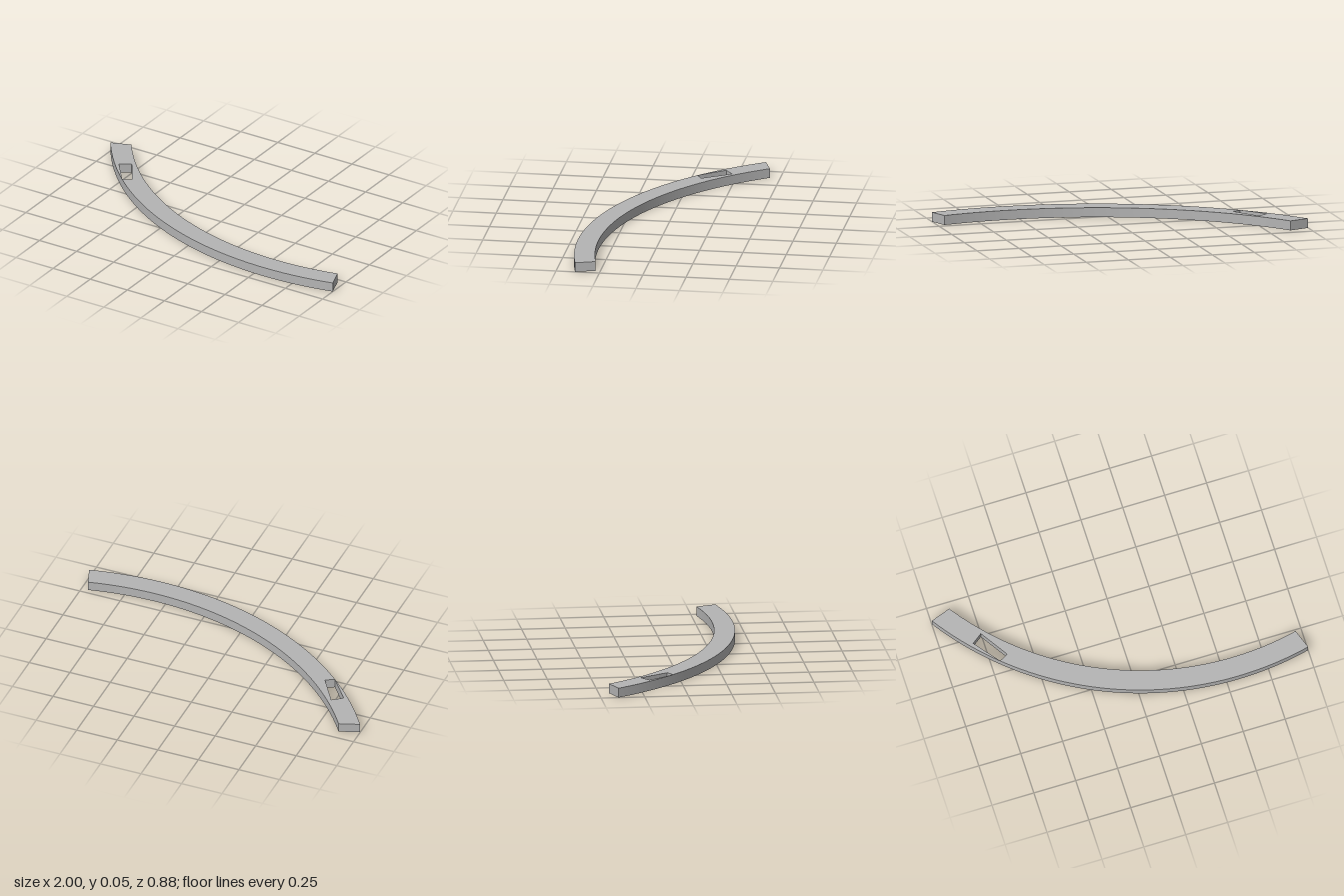
import * as THREE from 'three';
import { toCreasedNormals } from 'three/addons/utils/BufferGeometryUtils.js';

const HEIGHT = 0.055;
const CENTRE = [0.57, -1.445]; // x, z of the centre both arcs share
const OUTER_R = 1.885;
const INNER_R = 1.766;

// Points along an arc between two ends given as [x, z]
function arcPoints(radius, from, to, steps = 64) {
  const angle = ([x, z]) => Math.atan2(z - CENTRE[1], x - CENTRE[0]);
  const a = angle(from), b = angle(to);
  return Array.from({ length: steps + 1 }, (_, i) => {
    const t = a + ((b - a) * i) / steps;
    return new THREE.Vector2(
      CENTRE[0] + radius * Math.cos(t),
      -(CENTRE[1] + radius * Math.sin(t))
    );
  });
}

export function createModel() {
  const group = new THREE.Group();
  group.name = 'curvedBarModel';
  const grey = new THREE.MeshStandardMaterial({ color: 0xb4b4b4 });
  grey.name = 'grey';

  // Plan of the bar: outer arc, slanted end, inner arc, slanted end
  const plan = new THREE.Shape([
    ...arcPoints(OUTER_R, [-1, -0.4], [1, 0.39]),
    ...arcPoints(INNER_R, [0.96, 0.275], [-0.885, -0.44]),
  ]);

  // Rectangular slot through the bar, near one end
  const slot = [[-0.815, -0.2], [-0.756, -0.243], [-0.65, -0.08], [-0.7, -0.053]];
  plan.holes.push(new THREE.Path(slot.map(([x, z]) => new THREE.Vector2(x, -z))));

  const geometry = new THREE.ExtrudeGeometry(plan, { depth: HEIGHT, bevelEnabled: false });
  geometry.rotateX(-Math.PI / 2);

  const bar = new THREE.Mesh(toCreasedNormals(geometry, 0.3), grey);
  bar.name = 'curvedBar';
  group.add(bar);
  return group;
}
